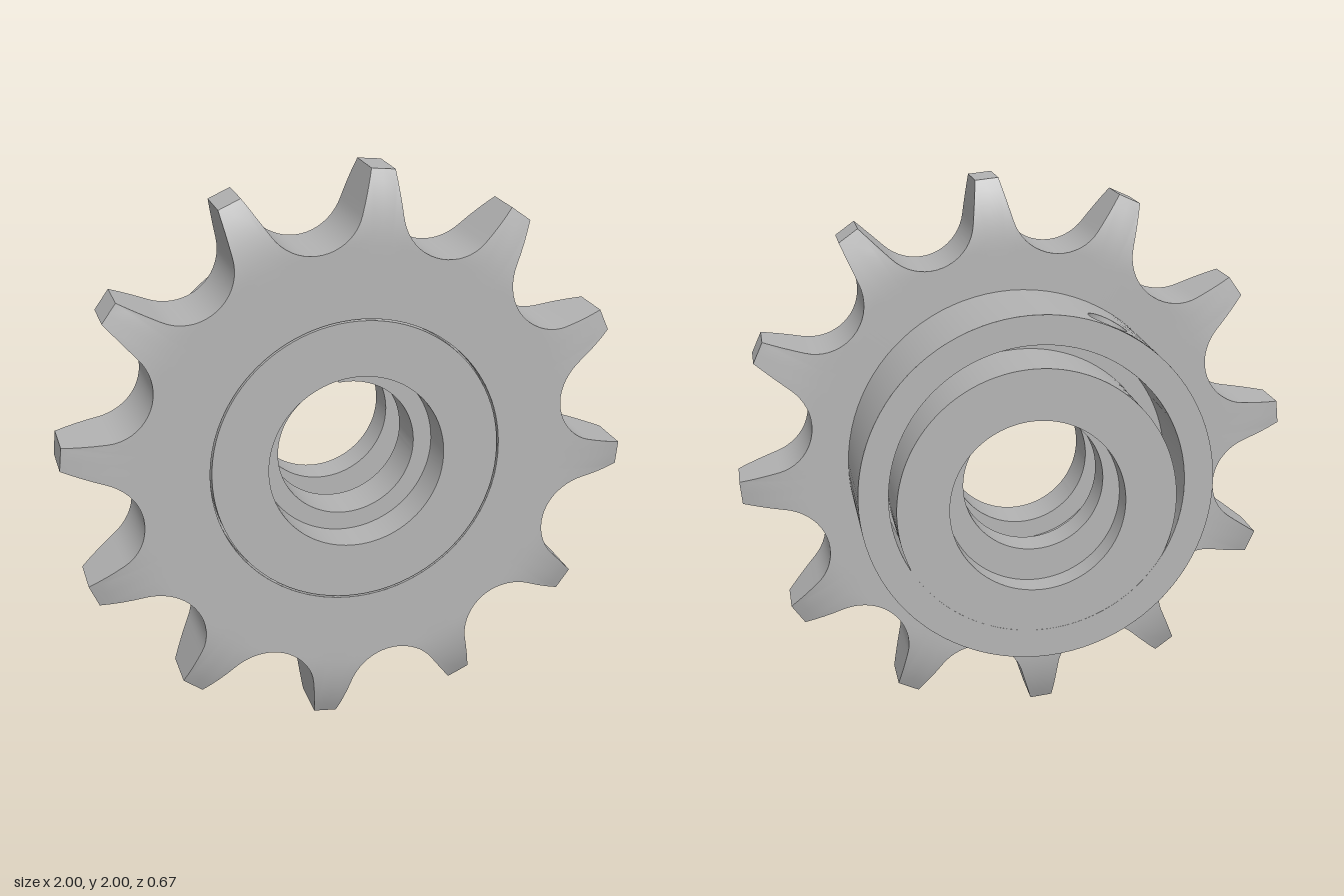
import * as THREE from 'three';
import { toCreasedNormals } from 'three/addons/utils/BufferGeometryUtils.js';

const TEETH = 12, BACK = -0.336, FRONT = 0.336, DISC_BACK = 0.058;
const MID = (FRONT + DISC_BACK) / 2, RAD = Math.PI / 180;
const SCREW = 114.3 * RAD; // direction of the set screw

// grid surface: f(i, j) gives [x, y, z]; it faces along (i direction) x (j direction)
function grid(ni, nj, f) {
  const pos = [], idx = [];
  for (let i = 0; i <= ni; i++) for (let j = 0; j <= nj; j++) pos.push(...f(i, j));
  for (let i = 0; i < ni; i++) for (let j = 0; j < nj; j++) {
    const a = i * (nj + 1) + j, b = a + nj + 1;
    idx.push(a, b, a + 1, b, b + 1, a + 1);
  }
  const g = new THREE.BufferGeometry();
  g.setAttribute('position', new THREE.Float32BufferAttribute(pos, 3));
  g.setIndex(idx);
  return toCreasedNormals(g, 0.6);
}

const polar = (r, a, z) => [r * Math.cos(a), r * Math.sin(a), z];

// turned part around the z axis, profile of [radius, z]
function turned(profile) {
  const g = new THREE.LatheGeometry(profile.map(p => new THREE.Vector2(...p)), 96);
  return toCreasedNormals(g.rotateX(Math.PI / 2), 0.6);
}

function extruded(shape, z0, z1) {
  const g = new THREE.ExtrudeGeometry(shape, { depth: z1 - z0, bevelEnabled: false, curveSegments: 72 });
  return toCreasedNormals(g.translate(0, 0, z0), 0.6);
}

function ringShape(outer, inner) {
  const s = new THREE.Shape().absarc(0, 0, outer, 0, Math.PI * 2, false);
  s.holes.push(new THREE.Path().absarc(0, 0, inner, 0, Math.PI * 2, true));
  return s;
}

// toothed outline as [radius, angle], counter-clockwise and closed
function toothOutline() {
  const tip = 0.999, half = [[tip, 0]];
  for (let k = 0; k <= 4; k++) half.push([tip + (0.853 - tip) * k / 4, 0.041 + 0.03 * k / 4]);
  const cx = 0.918 * Math.cos(15 * RAD), cy = 0.918 * Math.sin(15 * RAD);
  for (let k = 1; k <= 9; k++) {
    const a = (-101.5 - 63.5 * k / 9) * RAD;
    half.push([cx + 0.17 * Math.cos(a), cy + 0.17 * Math.sin(a)]);
  }
  const mirrored = half.slice(1, -1).reverse().map(([x, y]) => [x, -y]);
  const sector = [...mirrored, ...half];
  const out = [];
  for (let t = 0; t < TEETH; t++) {
    const turn = (24.3 + t * 360 / TEETH) * RAD;
    for (const [x, y] of sector) out.push([Math.hypot(x, y), Math.atan2(y, x) + turn]);
  }
  out.push(out[0]);
  return out;
}

// half thickness of the plate, rounded off towards the tooth tips
function halfThickness(r) {
  const d = Math.max(0, r - 0.76), R = 0.518;
  return 0.139 - (R - Math.sqrt(R * R - d * d));
}

// hub wall of radius R with a round screw opening
const HOLE_Z = -0.245, HOLE_R = 0.072, PATCH = 0.4;
const holePoint = (t, R) => [Math.asin(HOLE_R * Math.cos(t) / R), HOLE_R * Math.sin(t)];

function hubWall(R) {
  const rest = grid(80, 1, (i, j) =>
    polar(R, SCREW + PATCH + (2 * Math.PI - 2 * PATCH) * i / 80, j ? DISC_BACK : BACK));
  const n = 10;
  const patch = grid(4 * n, 4, (i, j) => {
    const side = Math.floor(i / n) % 4, s = -1 + 2 * (i % n) / n;
    const [sx, sy] = [[1, s], [-s, 1], [-1, -s], [s, -1]][side];
    const [ha, hz] = holePoint(Math.atan2(sy, sx), R);
    const ra = sx * PATCH, rz = sy * (sy > 0 ? DISC_BACK - HOLE_Z : HOLE_Z - BACK);
    const k = j / 4;
    return polar(R, SCREW + ra + (ha - ra) * k, HOLE_Z + rz + (hz - rz) * k);
  });
  return [rest, patch];
}

export function createModel() {
  const model = new THREE.Group();
  const steel = new THREE.MeshStandardMaterial({ color: 0xb4b4b4, side: THREE.DoubleSide });
  steel.name = 'steel grey';
  const add = (name, geometry, parent = model) => {
    const m = new THREE.Mesh(geometry, steel);
    m.name = name;
    parent.add(m);
    return m;
  };

  // toothed plate
  const plate = new THREE.Group();
  plate.name = 'toothedPlate';
  model.add(plate);
  const outline = toothOutline(), n = outline.length - 1, steps = 8;
  const radius = (i, k, inner) => k === 0 ? inner : 0.72 + (outline[i][0] - 0.72) * (k - 1) / (steps - 1);
  add('plateFront', grid(n, steps, (i, j) => {
    const r = radius(i, steps - j, 0.511);
    return polar(r, outline[i][1], MID + halfThickness(r));
  }), plate);
  add('plateBack', grid(n, steps, (i, j) => {
    const r = radius(i, j, 0.6);
    return polar(r, outline[i][1], MID - halfThickness(r));
  }), plate);
  add('toothEdges', grid(n, 1, (i, j) => {
    const [r, a] = outline[i];
    return polar(r, a, MID + (j ? 1 : -1) * halfThickness(r));
  }), plate);

  // hub with its radial screw hole
  const hub = new THREE.Group();
  hub.name = 'hub';
  model.add(hub);
  for (const g of hubWall(0.613)) add('hubOuterWall', g, hub);
  for (const g of hubWall(0.511)) add('hubInnerWall', g, hub);
  add('hubRim', turned([[0.511, BACK], [0.613, BACK]]), hub);
  add('screwHole', grid(40, 1, (i, j) => {
    const R = j ? 0.613 : 0.511, [a, z] = holePoint(-i / 40 * 2 * Math.PI, R);
    return polar(R, SCREW + a, HOLE_Z + z);
  }), hub);

  // bearing set into the plate behind a fine groove, with its bore
  add('bearing', turned([
    [0.511, FRONT], [0.511, 0.3], [0.505, 0.3], [0.505, FRONT],
    [0.31, FRONT], [0.31, -0.06], [0.511, -0.06],
  ]));

  // front bore lip, notched in line with the screw
  const a0 = 14 * RAD, a1 = 17.8 * RAD, turn = Math.PI * 2;
  const lip = new THREE.Shape();
  lip.absarc(0, 0, 0.313, SCREW + a0, SCREW + turn - a0, false);
  lip.absarc(0, 0, 0.245, SCREW + turn - a1, SCREW + a1, true);
  add('notchedLip', extruded(lip, 0.04, 0.2));

  // rear bore lip
  add('rearLip', extruded(ringShape(0.37, 0.245), -0.24, -0.12));

  // off-centre locking collar, leaving a crescent gap inside the hub
  add('eccentricCollar', extruded(ringShape(0.485, 0.305), BACK + 0.001, -0.06)).position.y = -0.055;

  model.position.y = 1;
  const root = new THREE.Group();
  root.name = 'sprocket';
  root.add(model);
  return root;
}
